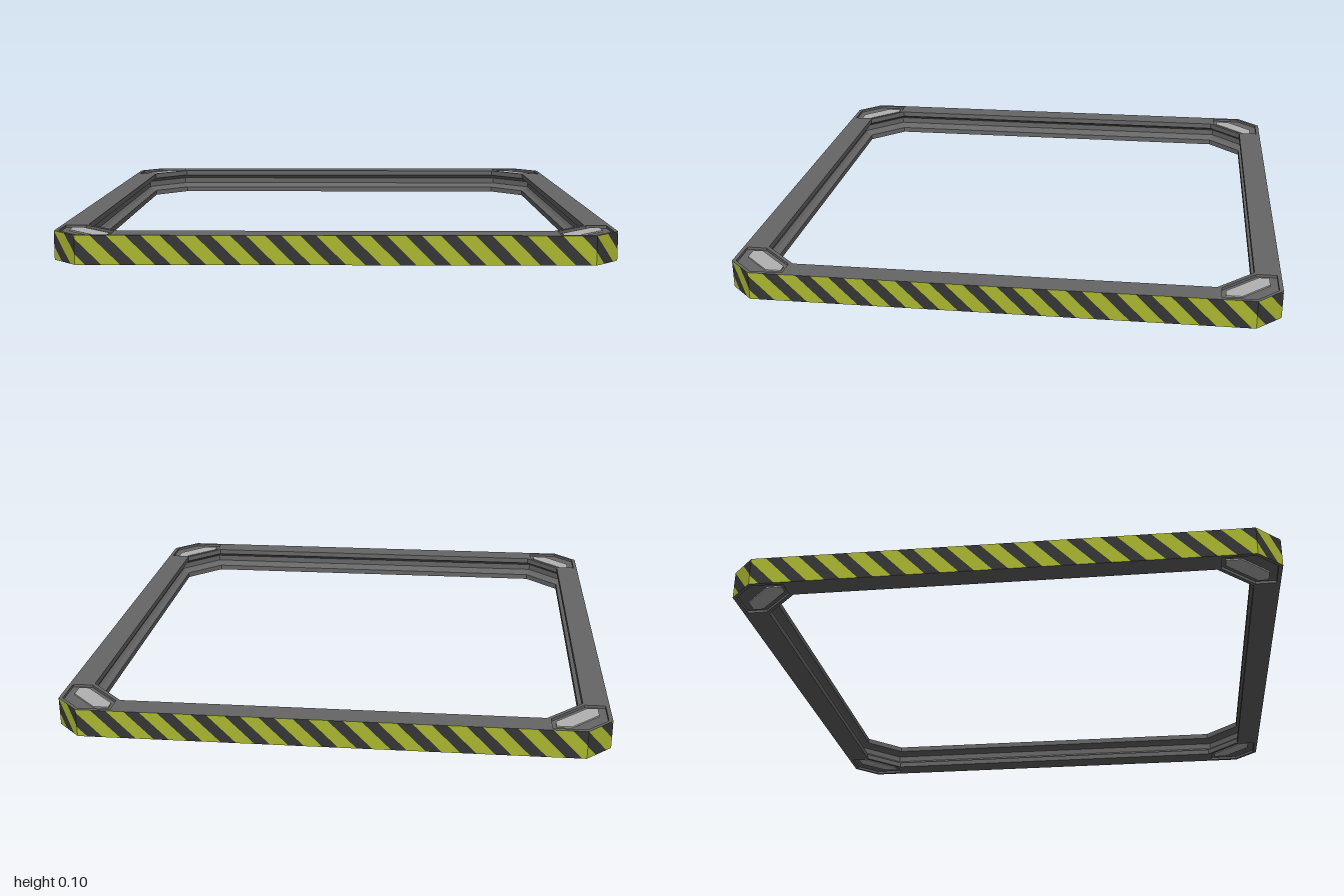
import * as THREE from 'three';
import { mergeGeometries } from 'three/addons/utils/BufferGeometryUtils.js';

const H = 0.105;        // frame height
const RECESS = 0.01;    // depth of the corner pockets

const mat = (name, color) => {
  const m = new THREE.MeshStandardMaterial({ color });
  m.name = name;
  return m;
};

// Chamfered square, counter-clockwise seen from above (plan y = -z)
const octagon = (h, c) => [
  [h, -c], [h, c], [c, h], [-c, h], [-h, c], [-h, -c], [-c, -h], [c, -h],
];

// Inner outline pushed outward by d, keeping every wall parallel
const innerLoop = (d) => octagon(0.905 + d, 0.77 + 0.414 * d);

// Quarter turns of a plan outline
const turn = (pts, k) => pts.map(([x, y]) => {
  for (let i = 0; i < k; i++) [x, y] = [-y, x];
  return [x, y];
});

const toVectors = (pts) => pts.map(([x, y]) => new THREE.Vector2(x, y));

// Flat-shaded geometry from convex polygons
function polygons(list) {
  const pos = [];
  for (const p of list) {
    for (let i = 1; i < p.length - 1; i++) pos.push(...p[0], ...p[i], ...p[i + 1]);
  }
  const g = new THREE.BufferGeometry();
  g.setAttribute('position', new THREE.Float32BufferAttribute(pos, 3));
  g.computeVertexNormals();
  return g;
}

// Walls linking successive rings; faces inward when listed from top to bottom
function walls(rings) {
  const quads = [];
  for (let r = 0; r < rings.length - 1; r++) {
    const [a, ya] = rings[r], [b, yb] = rings[r + 1];
    a.forEach((p, i) => {
      const j = (i + 1) % a.length;
      quads.push([
        [p[0], ya, -p[1]], [a[j][0], ya, -a[j][1]],
        [b[j][0], yb, -b[j][1]], [b[i][0], yb, -b[i][1]],
      ]);
    });
  }
  return polygons(quads);
}

// Horizontal face with holes, facing up or down
function cap(outline, holes, y, up) {
  const s = new THREE.Shape(toVectors(up ? outline : outline.map(([x, z]) => [x, -z])));
  for (const h of holes) {
    s.holes.push(new THREE.Path(toVectors(up ? h : h.map(([x, z]) => [x, -z]))));
  }
  return new THREE.ShapeGeometry(s).rotateX(up ? -Math.PI / 2 : Math.PI / 2).translate(0, y, 0);
}

// Clip a [u, v] polygon to the side sign * u <= limit
function clip(poly, sign, limit) {
  const out = [];
  poly.forEach((a, i) => {
    const b = poly[(i + 1) % poly.length];
    const da = sign * a[0] - limit, db = sign * b[0] - limit;
    if (da <= 0) out.push(a);
    if (da * db < 0) {
      const t = da / (da - db);
      out.push([a[0] + t * (b[0] - a[0]), a[1] + t * (b[1] - a[1])]);
    }
  });
  return out;
}

// Diagonal bands over the outer walls: each colour is its own set of faces
function stripes(loop, start, width) {
  const period = 0.122, slant = 0.105, list = [];
  loop.forEach((p, i) => {
    const q = loop[(i + 1) % loop.length];
    const len = Math.hypot(q[0] - p[0], q[1] - p[1]);
    const n = Math.ceil(len / 2 / period) + 2;
    for (let k = -n; k <= n; k++) {
      const u = k * period + start;
      let poly = [[u + slant, 0], [u + slant + width, 0], [u + width, H], [u, H]];
      poly = clip(clip(poly, 1, len / 2), -1, len / 2);
      if (poly.length < 3) continue;
      list.push(poly.map(([a, v]) => {
        const t = a / len + 0.5;
        return [p[0] + t * (q[0] - p[0]), v, -(p[1] + t * (q[1] - p[1]))];
      }));
    }
  });
  return polygons(list);
}

export function createModel() {
  const group = new THREE.Group();
  group.name = 'squareFrame';
  const grey = mat('frame grey', 0x666666);
  const dark = mat('stripe charcoal', 0x363636);
  const yellow = mat('hazard yellow', 0xaab630);
  const light = mat('pad light grey', 0xb2b2b2);
  const add = (name, geometry, material) => {
    const m = new THREE.Mesh(geometry, material);
    m.name = name;
    group.add(m);
  };

  const outer = octagon(1, 0.908);
  const pocket = [[0.985, 0.785], [0.985, 0.905], [0.905, 0.985],
    [0.785, 0.985], [0.785, 0.91], [0.91, 0.785]];
  const pad = [[0.957, 0.8], [0.957, 0.855], [0.855, 0.957],
    [0.8, 0.957], [0.8, 0.92], [0.92, 0.8]];
  const pockets = [0, 1, 2, 3].map((k) => turn(pocket, k));

  // Top and bottom faces, with openings for the corner pockets
  const holes = [innerLoop(0), ...pockets];
  add('frameTop', cap(outer, holes, H, true), grey);
  add('frameBottom', cap(outer, holes, 0, false), grey);

  // Inner wall with a channel running all the way round
  add('innerChannel', walls([
    [innerLoop(0), H], [innerLoop(0), 0.083], [innerLoop(0.02), 0.075],
    [innerLoop(0.03), 0.065], [innerLoop(0.03), 0.04],
    [innerLoop(0.02), 0.03], [innerLoop(0), 0.022], [innerLoop(0), 0],
  ]), grey);

  // Outer warning bands
  add('darkStripes', stripes(outer, 0, 0.056), dark);
  add('yellowStripes', stripes(outer, 0.056, 0.066), yellow);

  // Recessed corner pockets and their pads, above and below
  pockets.forEach((loop, k) => {
    add('cornerPocket', mergeGeometries([
      walls([[loop, H], [loop, H - RECESS]]),
      walls([[loop, RECESS], [loop, 0]]),
      cap(loop, [], H - RECESS, true).toNonIndexed().deleteAttribute('uv'),
      cap(loop, [], RECESS, false).toNonIndexed().deleteAttribute('uv'),
    ]), grey);
    const plate = turn(pad, k);
    for (const y of [H - RECESS, RECESS - 0.005]) {
      const g = new THREE.ExtrudeGeometry(new THREE.Shape(toVectors(plate)),
        { depth: 0.005, bevelEnabled: false });
      add('cornerPad', g.rotateX(-Math.PI / 2).translate(0, y, 0), light);
    }
  });

  return group;
}
